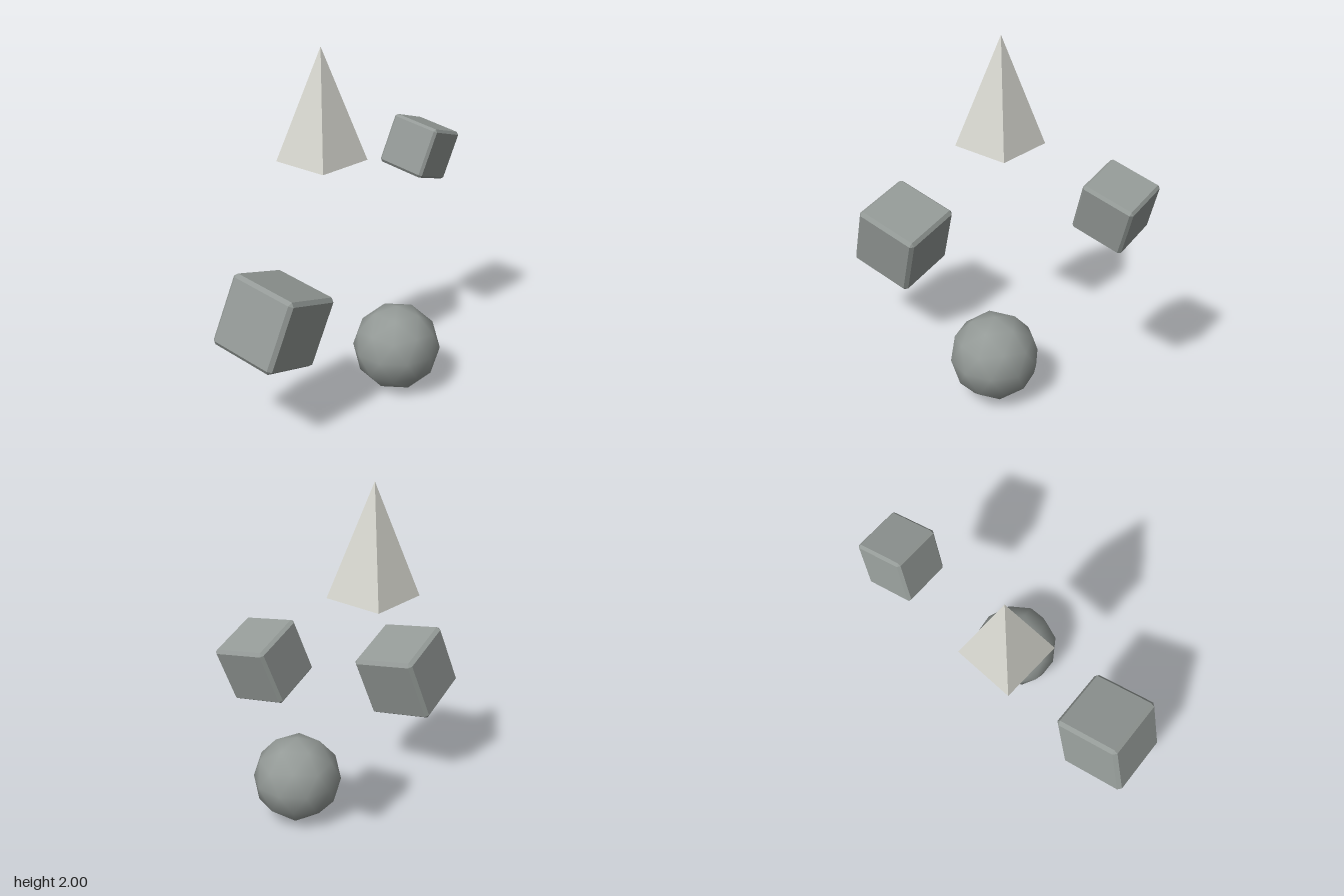
import * as THREE from 'three';
import { ConvexGeometry } from 'three/addons/geometries/ConvexGeometry.js';

const grey = new THREE.MeshStandardMaterial({ color: 0x949a97 });
grey.name = 'stone grey';
const pale = new THREE.MeshStandardMaterial({ color: 0xd6d6ce });
pale.name = 'pale grey';

// Cube with every edge and corner cut off flat
function chamferedCube(size, cut) {
  const h = size / 2, k = h - cut, points = [];
  for (const x of [-1, 1]) for (const y of [-1, 1]) for (const z of [-1, 1]) {
    points.push(
      new THREE.Vector3(x * h, y * k, z * k),
      new THREE.Vector3(x * k, y * h, z * k),
      new THREE.Vector3(x * k, y * k, z * h)
    );
  }
  return new ConvexGeometry(points);
}

export function createModel() {
  const model = new THREE.Group();
  model.name = 'floatingShapes';

  function add(name, geometry, material, x, y, z) {
    const mesh = new THREE.Mesh(geometry, material);
    mesh.name = name;
    mesh.position.set(x, y, z);
    model.add(mesh);
    return mesh;
  }

  // Square pyramid with flat sides
  const pyramid = new THREE.ConeGeometry(0.25, 0.632, 4, 1).rotateY(Math.PI / 4).toNonIndexed();
  pyramid.computeVertexNormals();
  add('pyramid', pyramid, pale, -0.08, 1.684, -0.205);

  // Smooth low-poly ball, turned so that one corner points straight up
  const ball = new THREE.IcosahedronGeometry(0.252, 1);
  ball.rotateZ(-Math.atan(2 / (1 + Math.sqrt(5))));
  add('ball', ball, grey, 0.173, 0.252, 0.132);

  // Two tilted cubes of different size
  const cubes = [
    ['largeCube', 0.403, -0.668, 0.674, -0.004],
    ['smallCube', 0.3, 0.73, 1.265, -0.172],
  ];
  for (const [name, size, x, y, z] of cubes) {
    add(name, chamferedCube(size, size * 0.05), grey, x, y, z).rotation.set(0.18, 0.09, -0.32);
  }

  return model;
}
